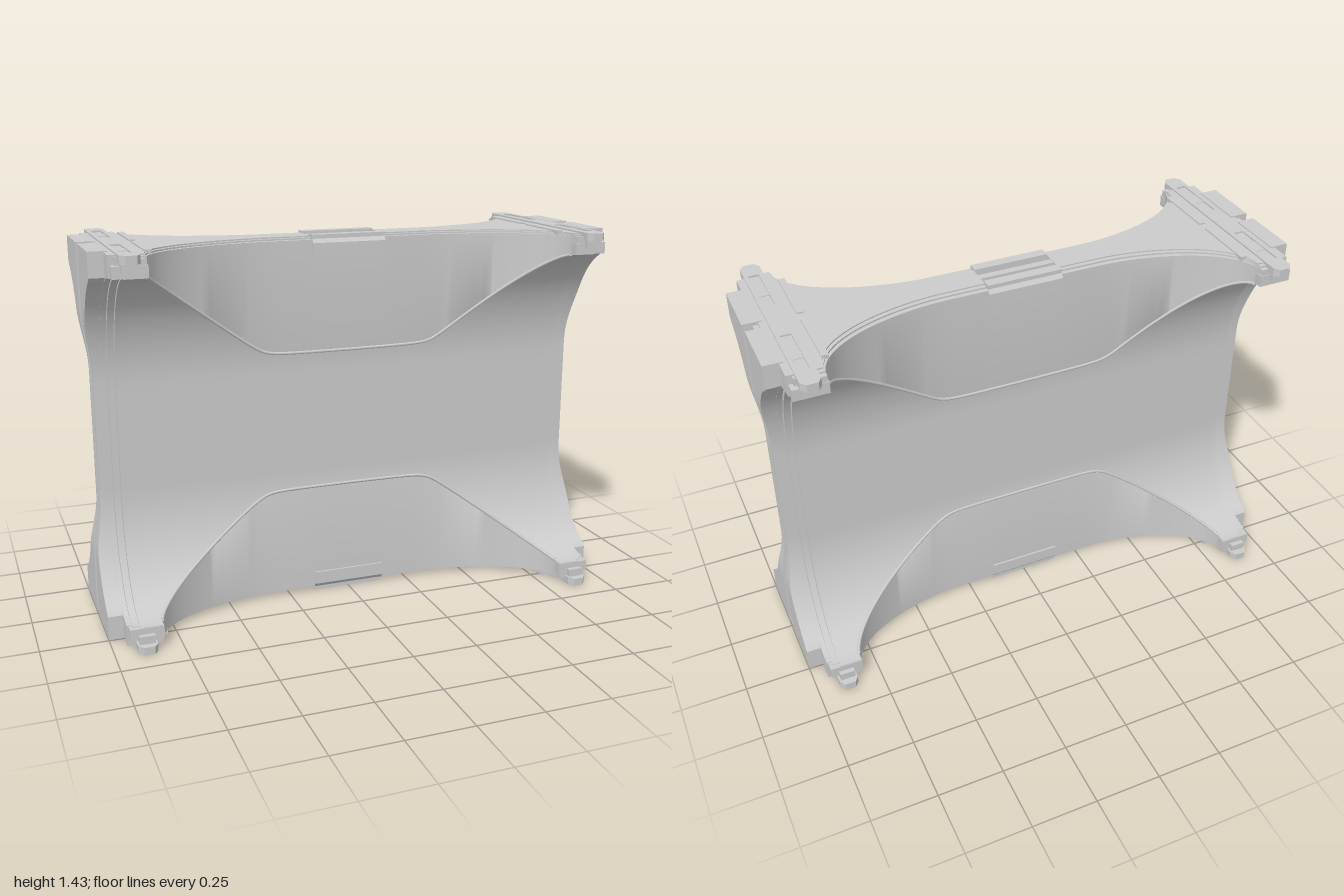
import * as THREE from 'three';
import { toCreasedNormals } from 'three/addons/utils/BufferGeometryUtils.js';

const MID = 0.715; // half the height; parts are built around this level
const mat = new THREE.MeshStandardMaterial({ color: 0xcccccc, side: THREE.DoubleSide });

function add(parent, name, geo, x = 0, y = 0, z = 0) {
  const m = new THREE.Mesh(geo, mat);
  m.name = name;
  m.position.set(x, y, z);
  parent.add(m);
  return m;
}

function box(parent, name, [x0, x1], [y0, y1], [z0, z1]) {
  const geo = new THREE.BoxGeometry(x1 - x0, y1 - y0, z1 - z0);
  return add(parent, name, geo, (x0 + x1) / 2, (y0 + y1) / 2, (z0 + z1) / 2);
}

// Skin over equal cross-section loops; point j and its mirror n-1-j close the ends
function loft(loops) {
  const n = loops[0].length, pos = [], idx = [];
  loops.forEach(l => l.forEach(p => pos.push(...p)));
  for (let i = 0; i < loops.length - 1; i++) {
    for (let j = 0; j < n; j++) {
      const a = i * n + j, b = i * n + (j + 1) % n;
      idx.push(a, a + n, b + n, a, b + n, b);
    }
  }
  const e = (loops.length - 1) * n;
  for (let j = 0; j < n / 2 - 1; j++) {
    const q = [j, j + 1, n - 2 - j, n - 1 - j];
    idx.push(q[0], q[1], q[2], q[0], q[2], q[3]);
    idx.push(e + q[0], e + q[2], e + q[1], e + q[0], e + q[3], e + q[2]);
  }
  const geo = new THREE.BufferGeometry();
  geo.setAttribute('position', new THREE.Float32BufferAttribute(pos, 3));
  geo.setIndex(idx);
  return toCreasedNormals(geo, 0.5);
}

// Half thickness at distance d from mid height
function flare(d) {
  const t = Math.max(0, (Math.abs(d) - 0.2) / 0.43);
  return 0.083 + 0.28 * (1 - Math.sqrt(Math.max(0, 1 - t * t)));
}

// Distance from mid height of the ridge where the two curved faces meet
function ridge(x) {
  const line = 0.33 + 0.75 * (Math.abs(x) - 0.42);
  return Math.min(0.63, 0.5 * (0.27 + line + Math.hypot(line - 0.27, 0.03)));
}

// Waisted block: flared vertically in the middle, flared sideways beyond the ridge
function waistedBlock(xEnd, top, inset) {
  const xs = [0.1449, 0.1451, xEnd];
  for (let i = 0; i <= 40; i++) xs.push(0.82 * Math.sin(i / 40 * Math.PI / 2));
  const all = [...xs.map(x => -x), ...xs.filter(x => x > 0)].sort((a, b) => a - b);
  return loft(all.map(x => {
    const r = ridge(x), t = Math.abs(x) < 0.145 ? 0.66 : top, front = [];
    const zEdge = flare(r) - inset;
    front.push([x, -t, zEdge]);
    for (let i = -28; i <= 28; i++) {
      const d = r * Math.sin(i / 28 * Math.PI / 2);
      front.push([x, d, flare(d) - inset]);
    }
    front.push([x, t, zEdge]);
    return [...front, ...front.map(([a, b, c]) => [a, b, -c]).reverse()];
  }));
}

// End plate: thickness follows the flare, outer face dips at mid height
function endPlate() {
  const loops = [];
  for (let i = -40; i <= 40; i++) {
    const d = 0.713 * Math.sin(i / 40 * Math.PI / 2);
    const x1 = 0.975 + 0.025 * THREE.MathUtils.smoothstep(Math.abs(d), 0.25, 0.47);
    const z1 = Math.min(0.25, flare(d) - 0.037);
    loops.push([[0.93, d, 0.022], [x1, d, 0.022], [x1, d, z1], [0.93, d, z1]]);
  }
  return loft(loops);
}

// Locking bar across one end, with two slots
function lockingBar() {
  const s = new THREE.Shape();
  [[0.845, -0.39], [0.86, -0.412], [0.9, -0.412], [0.917, -0.39],
    [0.917, 0.39], [0.9, 0.412], [0.86, 0.412], [0.845, 0.39]]
    .forEach(([x, z], i) => (i ? s.lineTo(x, z) : s.moveTo(x, z)));
  for (const k of [-1, 1]) {
    const h = new THREE.Path();
    h.moveTo(0.863, 0.1 * k);
    h.lineTo(0.902, 0.1 * k);
    h.lineTo(0.902, 0.33 * k);
    h.lineTo(0.863, 0.33 * k);
    h.closePath();
    s.holes.push(h);
  }
  const geo = new THREE.ExtrudeGeometry(s, { depth: 0.03, bevelEnabled: false });
  return geo.rotateX(Math.PI / 2).translate(0, 0.715, 0);
}

// Grooved catch in the middle of the long edge
function catchGeometry() {
  const half = [[0.094, 0.635], [0.094, 0.685], [0.082, 0.7], [0.082, 0.715],
    [0.042, 0.715], [0.042, 0.69], [0.014, 0.69], [0.014, 0.708]];
  const pts = [...half, ...half.map(([z, y]) => [-z, y]).reverse()];
  const s = new THREE.Shape(pts.map(([z, y]) => new THREE.Vector2(z, y)));
  const geo = new THREE.ExtrudeGeometry(s, { depth: 0.29, bevelEnabled: false });
  return geo.translate(0, 0, -0.145).rotateY(Math.PI / 2);
}

export function createModel() {
  const model = new THREE.Group();
  const body = new THREE.Group();
  body.name = 'waistedPanel';
  body.position.y = MID;
  model.add(body);

  // Core with two stepped rims
  add(body, 'core', waistedBlock(0.9, 0.698, 0));
  add(body, 'innerRim', waistedBlock(0.925, 0.704, 0.018));
  add(body, 'edgeRim', waistedBlock(0.945, 0.709, 0.035));

  // Raised bead along each ridge
  for (const sy of [-1, 1]) for (const sz of [-1, 1]) {
    const pts = [];
    for (let i = -40; i <= 40; i++) {
      const x = 0.815 * Math.sin(i / 40 * Math.PI / 2), r = ridge(x);
      pts.push(new THREE.Vector3(x, sy * r, sz * (flare(r) - 0.001)));
    }
    add(body, 'ridgeBead', new THREE.TubeGeometry(new THREE.CatmullRomCurve3(pts), 120, 0.006, 8));
  }

  // Catches on the top and bottom edges
  const catchGeo = catchGeometry();
  for (const a of [0, Math.PI]) add(body, 'edgeCatch', catchGeo).rotation.x = a;

  // End plates either side of a central slot with a rail
  const plateGeo = endPlate();
  for (const rz of [0, Math.PI]) {
    const end = new THREE.Group();
    end.name = 'end';
    end.rotation.z = rz;
    body.add(end);
    for (const rx of [0, Math.PI]) add(end, 'endPlate', plateGeo).rotation.x = rx;
    box(end, 'slotRail', [0.94, 0.962], [-0.595, 0.595], [-0.016, 0.016]);
    for (const s of [-1, 1]) {
      box(end, 'slotClip', [0.94, 0.97], [s * 0.62 - 0.012, s * 0.62 + 0.012], [-0.018, 0.018]);
      box(end, 'slotStop', [0.94, 0.965], [s * 0.672 - 0.03, s * 0.672 + 0.03], [-0.02, 0.02]);
    }
  }

  // Locking bars and corner fittings at the four end edges
  const barGeo = lockingBar();
  for (const rot of [[0, 0, 0], [Math.PI, 0, 0], [0, Math.PI, 0], [0, 0, Math.PI]]) {
    const edge = new THREE.Group();
    edge.name = 'lockingEdge';
    edge.rotation.set(...rot);
    body.add(edge);
    add(edge, 'lockingBar', barGeo);
    for (const s of [-1, 1]) {
      const span = (a, b) => (s > 0 ? [a, b] : [-b, -a]);
      box(edge, 'cornerBlock', [0.815, 0.94], [0.632, 0.675], span(0.25, 0.366));
      box(edge, 'cornerTip', [0.852, 0.91], [0.655, 0.69], span(0.3, 0.385));
      box(edge, 'slotKey', [0.863, 0.902], [0.69, 0.711], span(0.18, 0.25));
      box(edge, 'topRib', [0.785, 0.81], [0.69, 0.714], span(0.02, 0.27));
    }
  }
  return model;
}
